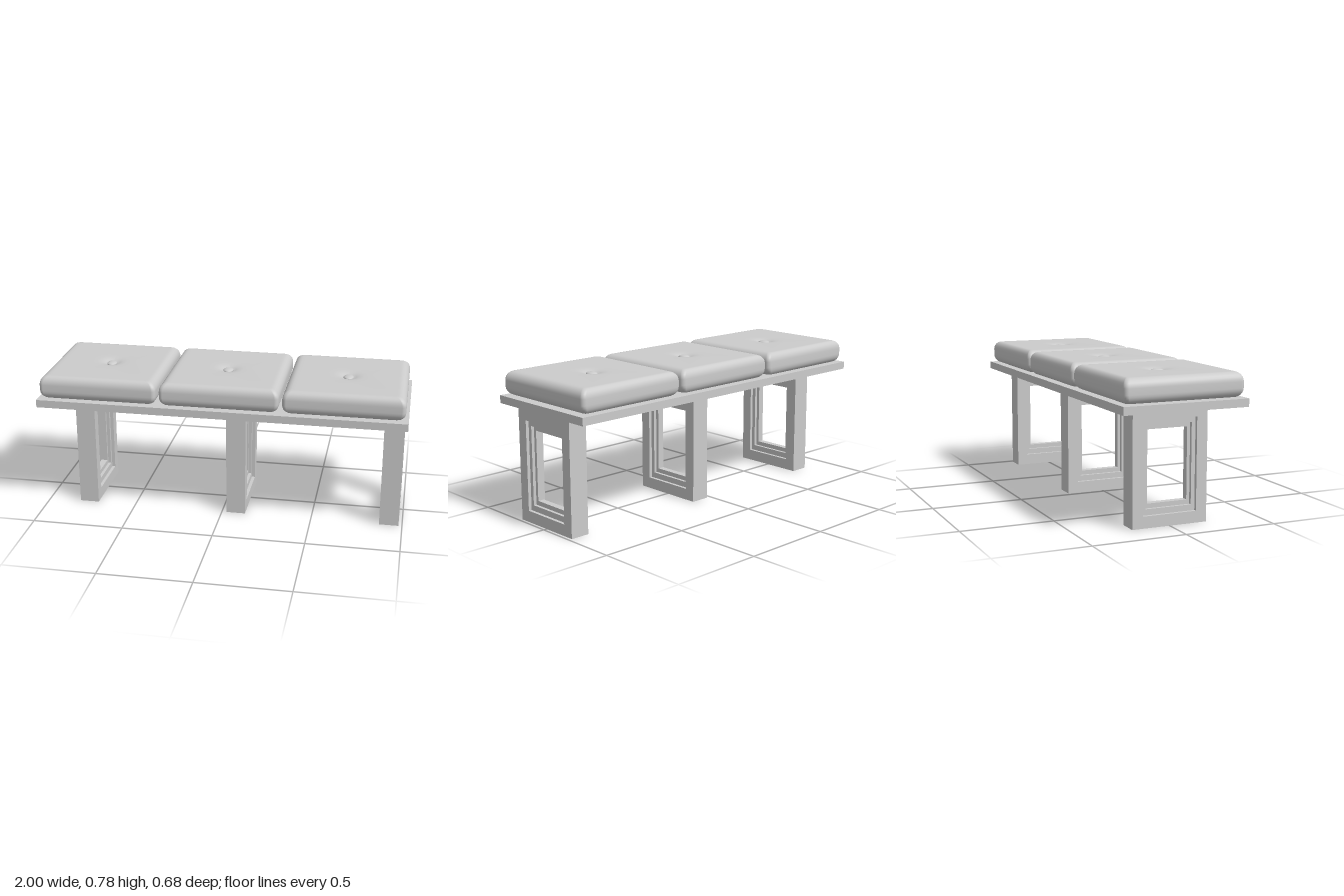
import * as THREE from 'three';

const material = new THREE.MeshStandardMaterial({ color: 0xcccccc });

function addMesh(parent, name, geometry, x = 0, y = 0, z = 0) {
  const mesh = new THREE.Mesh(geometry, material);
  mesh.name = name;
  mesh.position.set(x, y, z);
  parent.add(mesh);
  return mesh;
}

// Rectangle [half width, bottom, top] traced onto a shape or path
function traceRect(path, [w, y0, y1]) {
  path.moveTo(-w, y0);
  path.lineTo(w, y0);
  path.lineTo(w, y1);
  path.lineTo(-w, y1);
  path.closePath();
  return path;
}

// Rectangular frame, centred on its thickness and turned to face along x
function frameGeometry(outer, inner, thickness) {
  const shape = traceRect(new THREE.Shape(), outer);
  shape.holes.push(traceRect(new THREE.Path(), inner));
  const geo = new THREE.ExtrudeGeometry(shape, { depth: thickness, bevelEnabled: false });
  return geo.translate(0, 0, -thickness / 2).rotateY(Math.PI / 2);
}

// Skin through rounded-rectangle rings [half x, half z, corner radius, y], bottom to top
function cushionGeometry(rings) {
  const steps = 6, count = 4 * (steps + 1);
  const positions = [], indices = [];
  for (const [hx, hz, r, y] of rings) {
    for (let c = 0; c < 4; c++) {
      const sx = c === 0 || c === 3 ? 1 : -1;
      const sz = c < 2 ? 1 : -1;
      for (let i = 0; i <= steps; i++) {
        const a = (c + i / steps) * Math.PI / 2;
        positions.push(sx * (hx - r) + r * Math.cos(a), y, sz * (hz - r) + r * Math.sin(a));
      }
    }
  }
  for (let k = 0; k < rings.length - 1; k++) {
    for (let i = 0; i < count; i++) {
      const a = k * count + i, b = k * count + (i + 1) % count;
      indices.push(a, a + count, b, b, a + count, b + count);
    }
  }
  const geo = new THREE.BufferGeometry();
  geo.setAttribute('position', new THREE.Float32BufferAttribute(positions, 3));
  geo.setIndex(indices);
  geo.computeVertexNormals();
  return geo;
}

export function createModel() {
  const model = new THREE.Group();
  model.name = 'bench';

  // Seat board
  addMesh(model, 'seatBoard', new THREE.BoxGeometry(2, 0.042, 0.68), 0, 0.631, 0);

  // Three open frame legs, the opening stepping inwards from both faces
  const rects = [[0.208, 0, 0.61], [0.149, 0.062, 0.548], [0.128, 0.093, 0.519], [0.111, 0.117, 0.495]];
  const thickness = [0.106, 0.07, 0.036];
  for (const x of [-0.768, 0.078, 0.928]) {
    const leg = new THREE.Group();
    leg.name = 'frameLeg';
    leg.position.x = x;
    model.add(leg);
    ['outerFrame', 'middleFrame', 'innerFrame'].forEach((name, i) =>
      addMesh(leg, name, frameGeometry(rects[i], rects[i + 1], thickness[i])));
  }

  // Cushion profile: flat underside, rounded sides, flat top sinking into a tufted dimple
  const half = 0.064, hx = 0.322, hz = 0.326;
  const rings = [[0.005, 0.005, 0.005, -half]];
  const roundX = 0.045, roundZ = 0.036, roundY = 0.048, n = 6;
  const edge = (t, side) => {
    const s = 1 - Math.cos(t), y = side * (half - roundY + roundY * Math.sin(t));
    return [hx - roundX * s, hz - roundZ * s, 0.022 - 0.008 * s, y];
  };
  rings.push([0.262, 0.275, 0.014, -half]);
  for (let i = n; i >= 0; i--) rings.push(edge(i / n * Math.PI / 2, -1));
  for (let i = 0; i <= n; i++) rings.push(edge(i / n * Math.PI / 2, 1));
  rings.push([0.262, 0.275, 0.014, half], [0.13, 0.13, 0.1, half]);
  for (const [r, drop] of [[0.085, 0.001], [0.06, 0.004], [0.042, 0.009], [0.03, 0.015], [0.005, 0.018]]) {
    rings.push([r, r * 1.1, r, half - drop]);
  }
  const cushionGeo = cushionGeometry(rings);

  // Flattened oval button
  const buttonGeo = new THREE.SphereGeometry(1, 20, 12).scale(0.028, 0.011, 0.035);

  for (const x of [-0.662, 0, 0.662]) {
    addMesh(model, 'cushion', cushionGeo, x, 0.718, 0);
    addMesh(model, 'cushionButton', buttonGeo, x, 0.768, 0);
  }
  return model;
}
